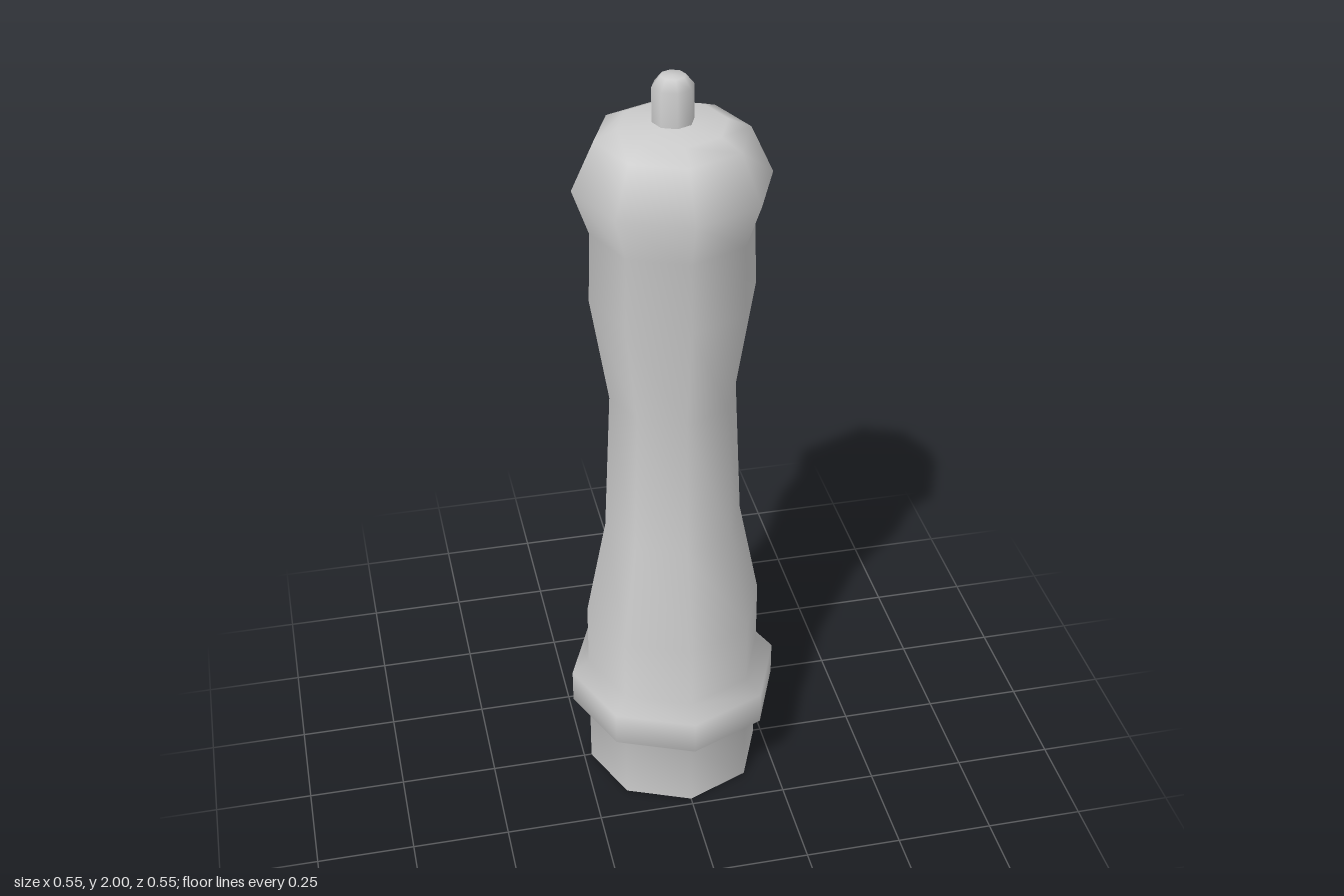
import * as THREE from 'three';

const SIDES = 8;

export function createModel() {
  const group = new THREE.Group();
  const material = new THREE.MeshStandardMaterial({ color: 0xcccccc });

  // Turns a profile of [radius, height] points, listed bottom to top
  function turned(name, profile) {
    const points = profile.map(([r, y]) => new THREE.Vector2(r, y));
    const mesh = new THREE.Mesh(new THREE.LatheGeometry(points, SIDES), material);
    mesh.name = name;
    group.add(mesh);
  }

  // Waisted body with a collar near the foot and a swollen head
  turned('body', [
    [0.23, 0], [0.23, 0.17],
    [0.275, 0.21], [0.275, 0.3],
    [0.23, 0.335], [0.23, 0.51],
    [0.177, 0.78], [0.16, 1.16],
    [0.205, 1.44], [0.2, 1.62],
    [0.24, 1.735], [0.185, 1.855],
    [0.13, 1.88], [0.045, 1.89],
  ]);

  // Small knob on top
  turned('knob', [
    [0.05, 1.88], [0.05, 1.975], [0.03, 2], [0, 2],
  ]);

  // Shallow recess under the foot
  turned('footRecess', [
    [0, 0.06], [0.222, 0.06], [0.23, 0],
  ]);

  return group;
}
